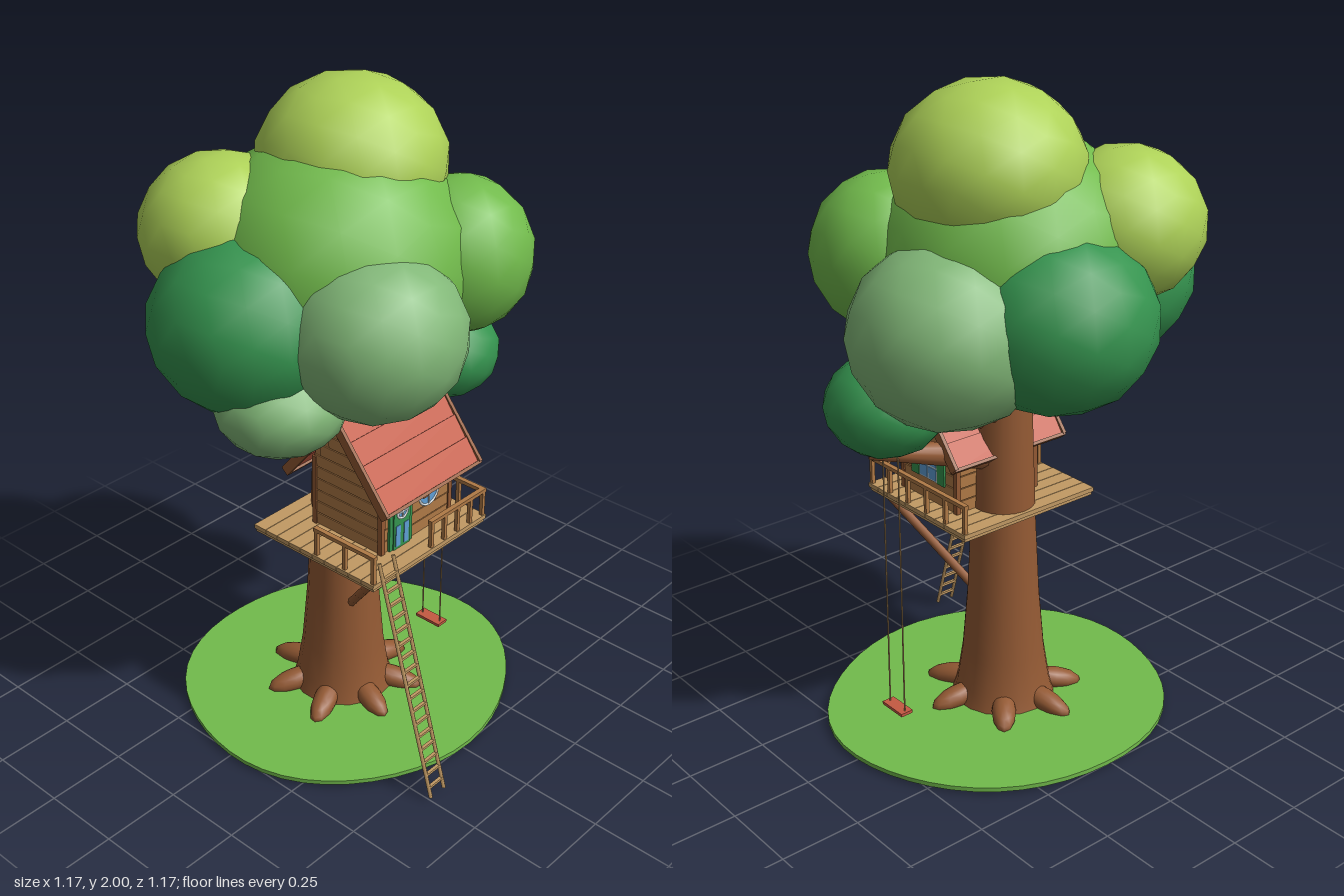
import * as THREE from 'three';

const mat = (name, color, side = THREE.FrontSide) => {
  const m = new THREE.MeshStandardMaterial({ color, side });
  m.name = name;
  return m;
};

export function createModel() {
  const root = new THREE.Group();
  root.name = 'treehouse';
  const bark = mat('bark brown', 0x945a34), wood = mat('wall wood', 0xb07a46), plank = mat('pale plank', 0xc29a64);
  const red = mat('roof red', 0xc45a42), leaf = mat('leaf green', 0x72bb4c), pine = mat('dark green', 0x35944f);
  const lime = mat('lime green', 0xaed258), sage = mat('sage green', 0x82b878);
  const glass = mat('window blue', 0x5f9fd6), white = mat('white trim', 0xe8eef0);
  const V = (x, y, z) => new THREE.Vector3(x, y, z);

  const add = (parent, name, geo, material, x = 0, y = 0, z = 0) => {
    const m = new THREE.Mesh(geo, material);
    m.name = name;
    m.position.set(x, y, z);
    parent.add(m);
    return m;
  };
  const group = (parent, name, x = 0, y = 0, z = 0) => {
    const g = new THREE.Group();
    g.name = name;
    g.position.set(x, y, z);
    parent.add(g);
    return g;
  };
  const box = (parent, name, m, w, h, d, x, y, z) => add(parent, name, new THREE.BoxGeometry(w, h, d), m, x, y, z);
  // Round pole from a to b
  const pole = (parent, name, m, a, b, r1, r2 = r1, sides = 8) => {
    const d = b.clone().sub(a), c = a.clone().add(b).multiplyScalar(0.5);
    const mesh = add(parent, name, new THREE.CylinderGeometry(r2, r1, d.length(), sides), m, c.x, c.y, c.z);
    mesh.quaternion.setFromUnitVectors(V(0, 1, 0), d.normalize());
    return mesh;
  };

  // Grass disc with a slightly wavy rim
  const disc = new THREE.CylinderGeometry(1, 1, 0.014, 48);
  const p = disc.attributes.position;
  for (let i = 0; i < p.count; i++) {
    const a = Math.atan2(p.getZ(i), p.getX(i)), k = 1 + 0.012 * Math.sin(3 * a + 1) + 0.008 * Math.sin(5 * a);
    p.setXYZ(i, p.getX(i) * k * 0.547, p.getY(i), p.getZ(i) * k * 0.51);
  }
  add(root, 'grass', disc, leaf, 0.025, 0.012, 0);

  // Trunk, roots and limbs
  const profile = [[0.165, 0.01], [0.147, 0.07], [0.13, 0.18], [0.113, 0.38], [0.1, 0.65], [0.092, 0.9], [0.08, 1.3]];
  add(root, 'trunk', new THREE.LatheGeometry(profile.map(q => new THREE.Vector2(...q)), 18), bark);
  [0.2, 1.05, 1.85, 2.75, 3.65, 4.5, 5.4].forEach((a, i) => {
    const g = group(root, 'root');
    g.rotation.y = -a;
    const r = add(g, 'rootLobe', new THREE.SphereGeometry(1, 12, 8), bark, 0.165, 0.038, 0);
    r.scale.set(0.09 + 0.008 * (i % 2), 0.034, 0.038);
    r.rotation.z = -0.22;
  });
  pole(root, 'swingBranch', bark, V(0.03, 0.85, 0), V(0.44, 0.952, 0.06), 0.05, 0.022, 10);
  [[0.28, 1.25, -0.1], [-0.25, 1.22, -0.02], [0.3, 1.12, 0.05], [-0.1, 1.3, -0.2]].forEach(e =>
    pole(root, 'limb', bark, V(0, 0.94, 0), V(...e), 0.045, 0.025, 10));

  // Leaf clumps: material, centre, radii
  [
    [leaf, 0.01, 1.48, -0.04, 0.405, 0.38, 0.41],
    [lime, 0.105, 1.75, -0.063, 0.277, 0.25, 0.282],
    [lime, -0.22, 1.58, -0.265, 0.238, 0.225, 0.238],
    [leaf, 0.268, 1.487, 0.2, 0.222, 0.235, 0.225],
    [sage, -0.13, 1.385, 0.24, 0.262, 0.247, 0.262],
    [sage, 0.3, 1.33, -0.125, 0.288, 0.27, 0.288],
    [pine, 0.06, 1.365, -0.305, 0.285, 0.265, 0.285],
    [pine, -0.3, 1.38, -0.08, 0.29, 0.265, 0.29],
    [sage, -0.31, 1.175, 0.05, 0.195, 0.147, 0.19],
    [pine, 0.39, 1.09, 0.055, 0.178, 0.152, 0.182],
  ].forEach(([m, x, y, z, a, b, c]) =>
    add(root, 'leafClump', new THREE.IcosahedronGeometry(1, 2), m, x, y, z).scale.set(a, b, c));

  // Deck with boards and braces
  const deck = group(root, 'deck');
  box(deck, 'deckBase', plank, 0.505, 0.012, 0.47, -0.018, 0.666, 0.13);
  for (let i = 0; i < 10; i++) box(deck, 'deckBoard', plank, 0.515, 0.014, 0.046, -0.018, 0.678, -0.086 + i * 0.048);
  [[-0.235, -0.05], [0.205, 0.05]].forEach(([x, t]) =>
    pole(deck, 'brace', bark, V(x, 0.665, 0.335), V(t, 0.37, 0.08), 0.014));

  // Railings: end points and number of posts
  const railing = (x1, z1, x2, z2, n) => {
    const g = group(deck, 'railing');
    for (let i = 0; i < n; i++) {
      const t = i / (n - 1);
      box(g, 'post', wood, 0.012, 0.09, 0.012, x1 + (x2 - x1) * t, 0.725, z1 + (z2 - z1) * t);
    }
    box(g, 'handrail', wood, Math.abs(x2 - x1) + 0.016, 0.012, Math.abs(z2 - z1) + 0.016, (x1 + x2) / 2, 0.772, (z1 + z2) / 2);
  };
  railing(0.23, 0.36, 0.23, -0.1, 6);
  railing(-0.01, 0.36, 0.23, 0.36, 5);
  railing(-0.265, 0.36, -0.265, 0.14, 3);

  // Ladder
  const ladder = group(root, 'ladder');
  const foot = V(-0.22, 0.012, 0.583), top = V(-0.22, 0.75, 0.368);
  for (const s of [-1, 1]) {
    const o = V(s * 0.03, 0, 0);
    pole(ladder, 'ladderRail', plank, foot.clone().add(o), top.clone().add(o), 0.006, 0.006, 6);
  }
  for (let i = 0; i < 17; i++) {
    const c = foot.clone().lerp(top, (i + 0.8) / 18);
    box(ladder, 'rung', plank, 0.06, 0.008, 0.01, c.x, c.y, c.z);
  }

  // Swing
  const swing = group(root, 'swing');
  for (const z of [0.024, 0.098]) pole(swing, 'rope', plank, V(0.375, 0.07, z), V(0.375, 0.94, z), 0.0025, 0.0025, 5);
  box(swing, 'swingSeat', red, 0.042, 0.01, 0.098, 0.375, 0.072, 0.061);

  // House body: five-sided section along x
  const house = group(root, 'house', 0.013, 0, 0.148);
  const hw = 0.152, hd = 0.13, ridge = 1.095;
  const gable = new THREE.Shape([[-hd, 0.68], [hd, 0.68], [hd, 0.935], [0, ridge], [-hd, 0.935]].map(q => new THREE.Vector2(...q)));
  const body = new THREE.ExtrudeGeometry(gable, { depth: hw * 2, bevelEnabled: false });
  body.translate(0, 0, -hw);
  body.rotateY(-Math.PI / 2);
  add(house, 'walls', body, wood);

  // Wall boards, narrowing under the gables
  for (let i = 0; i < 10; i++) {
    const y = 0.705 + i * 0.04, w = Math.min(hd, (ridge - y - 0.02) / 1.23);
    if (w > 0.01) box(house, 'gableBoard', wood, hw * 2 + 0.008, 0.037, w * 2, 0, y, 0);
    if (i < 6) box(house, 'frontBoard', wood, hw * 2, 0.037, hd * 2 + 0.008, 0, y, 0);
  }
  for (const sx of [-1, 1]) for (const sz of [-1, 1])
    box(house, 'cornerPost', bark, 0.016, 0.235, 0.016, sx * hw, 0.8, sz * hd);

  // Roof slopes with lapped rows and edge trim
  const slope = 0.309, pitch = Math.atan2(0.24, 0.195);
  for (const turn of [0, Math.PI]) {
    const side = group(house, 'roofSide', 0, 1.105, 0);
    side.rotation.y = turn;
    const s = group(side, 'slope');
    s.rotation.x = pitch;
    for (let i = 0; i < 4; i++)
      box(s, 'roofRow', red, 0.415, 0.014, 0.084, 0, 0.002, 0.04 + i * 0.0755).rotation.x = 0.06;
    for (const x of [-0.211, 0.211]) box(s, 'edgeTrim', bark, 0.012, 0.03, slope, x, 0, slope / 2);
    box(s, 'eaveTrim', bark, 0.43, 0.026, 0.01, 0, -0.002, slope);
  }
  pole(house, 'ridgeCap', red, V(-0.217, 1.105, 0), V(0.217, 1.105, 0), 0.012, 0.012, 8);

  // Round window with cross bars
  const roundWindow = (parent, x, y, z, r) => {
    const g = group(parent, 'roundWindow', x, y, z);
    add(g, 'pane', new THREE.CircleGeometry(r, 20), glass);
    add(g, 'ring', new THREE.TorusGeometry(r, 0.004, 6, 20), white);
    box(g, 'bar', white, r * 2, 0.005, 0.004, 0, 0, 0.001);
    box(g, 'bar', white, 0.005, r * 2, 0.004, 0, 0, 0.001);
  };
  const arch = (w, h) => {
    const s = new THREE.Shape();
    s.moveTo(-w, 0);
    s.lineTo(w, 0);
    s.lineTo(w, h - w);
    s.absarc(0, h - w, w, 0, Math.PI, false);
    return new THREE.ExtrudeGeometry(s, { depth: 0.008, bevelEnabled: false, curveSegments: 10 });
  };

  // Front door and window
  const front = group(house, 'frontDetails', 0, 0, hd + 0.004);
  add(front, 'doorFrame', arch(0.05, 0.182), pine, -0.078, 0.686, 0);
  add(front, 'doorPanel', arch(0.036, 0.16), pine, -0.078, 0.686, 0.004);
  for (const x of [-0.018, 0.018]) box(front, 'doorPane', glass, 0.02, 0.07, 0.004, -0.078 + x, 0.73, 0.012);
  roundWindow(front, -0.078, 0.808, 0.0135, 0.022);
  roundWindow(front, 0.054, 0.81, 0.002, 0.043);

  // Side window with shutters
  const win = group(house, 'sideWindow', hw + 0.005, 0.803, 0);
  win.rotation.y = Math.PI / 2;
  box(win, 'frame', white, 0.088, 0.092, 0.006, 0, 0, 0);
  for (const x of [-0.021, 0.021]) for (const y of [-0.022, 0.022])
    box(win, 'pane', glass, 0.036, 0.038, 0.004, x, y, 0.003);
  for (const x of [-0.063, 0.063]) box(win, 'shutter', pine, 0.034, 0.092, 0.009, x, 0, 0.001);

  // Lantern under the eave
  const lantern = group(house, 'lantern', -0.013, 0.855, 0.17);
  box(lantern, 'lanternGlass', glass, 0.016, 0.024, 0.016, 0, 0, 0);
  box(lantern, 'lanternCap', bark, 0.022, 0.006, 0.022, 0, 0.015, 0);
  box(lantern, 'lanternBase', bark, 0.022, 0.005, 0.022, 0, -0.014, 0);
  pole(lantern, 'lanternHook', bark, V(0, 0.015, 0), V(0, 0.05, 0), 0.002, 0.002, 5);

  return root;
}
